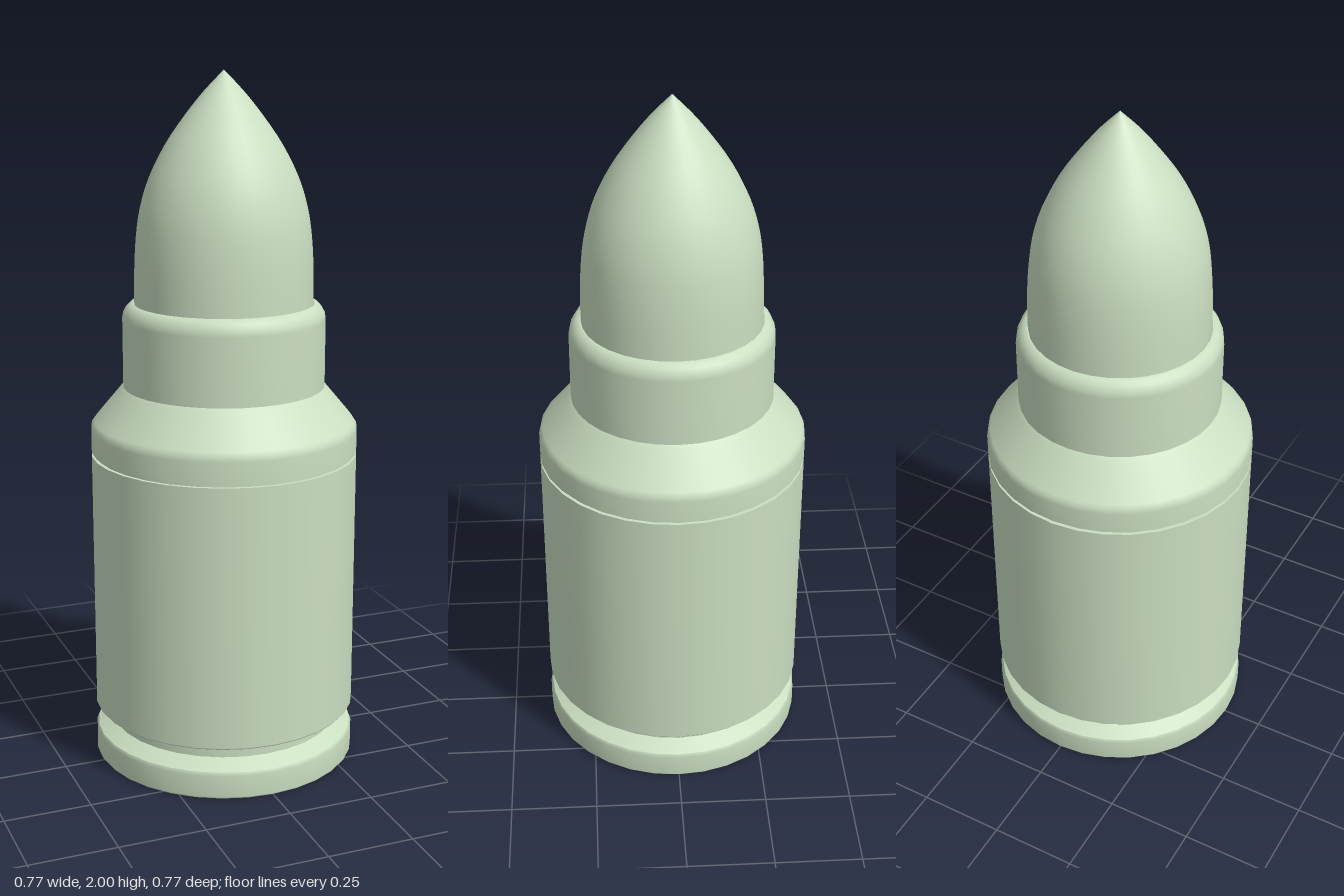
import * as THREE from 'three';

const SIDES = 32;
const material = new THREE.MeshStandardMaterial({ color: 0xcbdfc2, side: THREE.DoubleSide });

// Each run of [radius, height] points is smooth; the joins between runs stay sharp.
function turned(name, ...runs) {
  const part = new THREE.Group();
  part.name = name;
  runs.forEach((run, i) => {
    const points = run.map(([r, y]) => new THREE.Vector2(r, y));
    const mesh = new THREE.Mesh(new THREE.LatheGeometry(points, SIDES), material);
    mesh.name = `${name}Surface${i + 1}`;
    part.add(mesh);
  });
  return part;
}

export function createModel() {
  const model = new THREE.Group();
  model.name = 'cartridge';

  // Base plate with a round opening, and its bevelled rim
  model.add(turned('rim',
    [[0.32, 0.06], [0.2, 0.06]],
    [[0.2, 0.06], [0.2, 0]],
    [[0.2, 0], [0.38, 0]],
    [[0.38, 0], [0.385, 0.006], [0.385, 0.07], [0.38, 0.08]],
    [[0.38, 0.08], [0.335, 0.105]]));

  // Extractor groove
  model.add(turned('extractorGroove',
    [[0.335, 0.105], [0.335, 0.15]],
    [[0.335, 0.15], [0.38, 0.15]]));

  // Case wall with a thin slit under the shoulder
  model.add(turned('caseBody',
    [[0.38, 0.15], [0.385, 0.156], [0.385, 0.918]],
    [[0.385, 0.918], [0.375, 0.918]],
    [[0.375, 0.918], [0.375, 0.928]],
    [[0.375, 0.928], [0.385, 0.928]]));

  // Hollow inside of the case
  model.add(turned('caseInterior',
    [[0.27, 1.1], [0.32, 1.03], [0.32, 0.06]]));

  // Sloping shoulder
  model.add(turned('shoulder',
    [[0.385, 0.928], [0.385, 0.99], [0.382, 1.005], [0.375, 1.015], [0.3, 1.105], [0.29, 1.115]]));

  // Neck with a rounded mouth
  model.add(turned('neck',
    [[0.29, 1.115], [0.29, 1.31], [0.287, 1.327], [0.279, 1.342], [0.268, 1.352], [0.258, 1.355]],
    [[0.258, 1.355], [0.25, 1.35]]));

  // Pointed bullet
  const ogive = new THREE.SplineCurve([
    [0.255, 1.35], [0.2535, 1.45], [0.248, 1.54], [0.236, 1.62], [0.21, 1.705],
    [0.165, 1.795], [0.11, 1.875], [0.055, 1.943], [0, 2],
  ].map(([r, y]) => new THREE.Vector2(r, y)));
  model.add(turned('bullet',
    [[0, 1.1], [0.27, 1.1]],
    ogive.getPoints(24).map(p => [Math.max(0, p.x), p.y])));

  return model;
}
